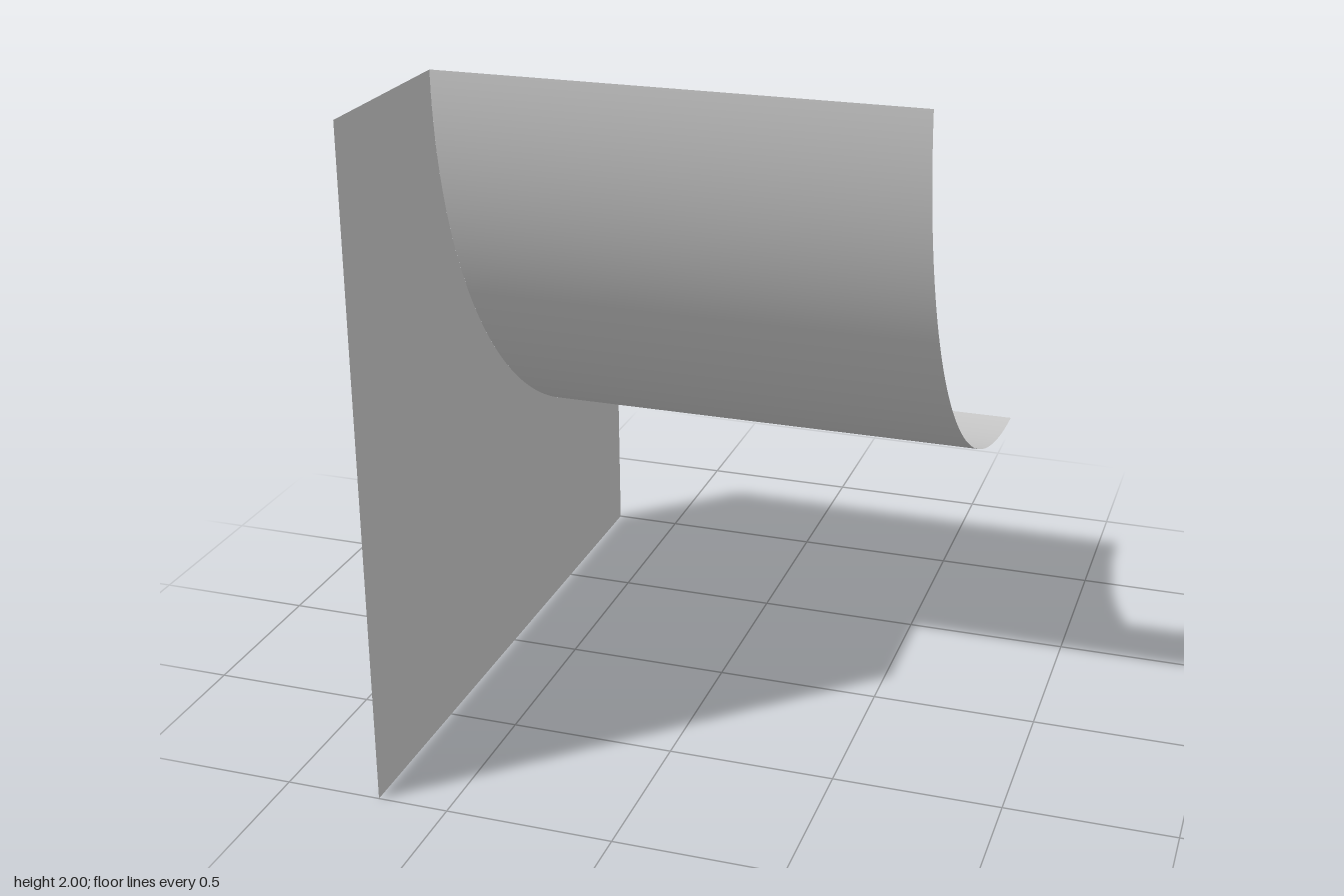
import * as THREE from 'three';

const R = 1.427;      // radius of the curved surface
const HALF = 0.712;   // half width along x
const SEGMENTS = 48;

export function createModel() {
  const group = new THREE.Group();
  const material = new THREE.MeshStandardMaterial({ color: 0xcccccc, side: THREE.DoubleSide });

  // Curved ramp: a quarter of an open cylinder lying along x
  const rampGeometry = new THREE.CylinderGeometry(
    R, R, HALF * 2, SEGMENTS, 1, true, -Math.PI / 2, Math.PI / 2);
  rampGeometry.rotateZ(Math.PI / 2);
  rampGeometry.translate(0, 2, -1);
  const ramp = new THREE.Mesh(rampGeometry, material);
  ramp.name = 'curvedRamp';
  group.add(ramp);

  // Thin side panel, drawn as (z, y) and following the ramp's curve
  const profile = new THREE.Shape();
  profile.moveTo(-1, 0);
  profile.lineTo(1, 0);
  profile.lineTo(1, 2);
  profile.lineTo(R - 1, 2);
  profile.absarc(-1, 2, R, 0, -Math.PI / 2, true);
  profile.closePath();
  const panelGeometry = new THREE.ShapeGeometry(profile, SEGMENTS);
  panelGeometry.rotateY(-Math.PI / 2);
  const panel = new THREE.Mesh(panelGeometry, material);
  panel.name = 'sidePanel';
  panel.position.x = -HALF;
  group.add(panel);

  return group;
}
